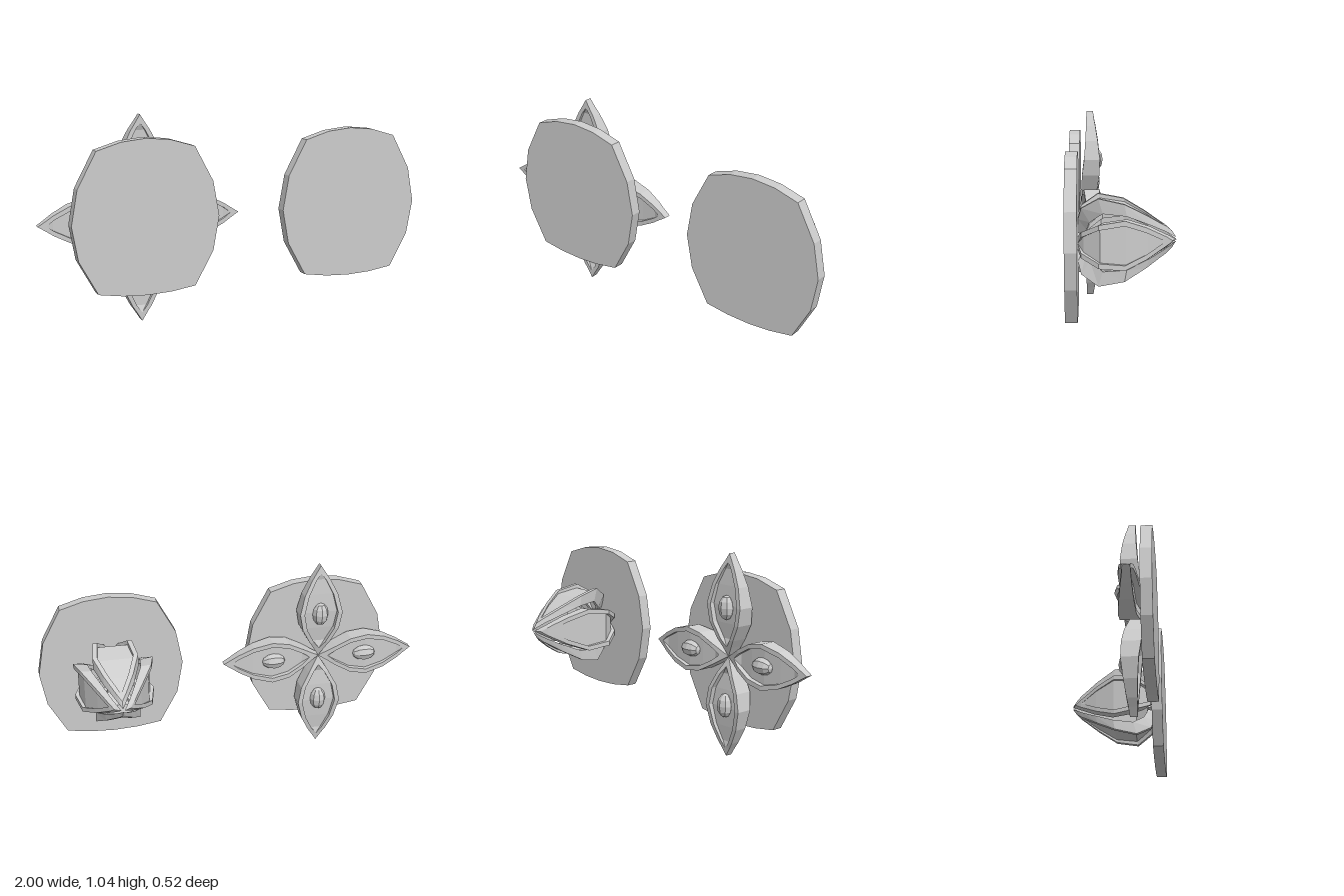
import * as THREE from 'three';

const material = new THREE.MeshStandardMaterial({ color: 0xcccccc, flatShading: true });

function mesh(geometry, name) {
  const m = new THREE.Mesh(geometry, material);
  m.name = name;
  return m;
}

// Rounded-square plate: eight-cornered outline with bowed sides
function plate() {
  const s = new THREE.Shape();
  s.moveTo(-0.25, 0.355);
  s.quadraticCurveTo(0, 0.455, 0.25, 0.355);
  s.quadraticCurveTo(0.505, -0.005, 0.25, -0.345);
  s.quadraticCurveTo(0, -0.395, -0.25, -0.345);
  s.quadraticCurveTo(-0.505, -0.005, -0.25, 0.355);
  const g = new THREE.ExtrudeGeometry(s, { depth: 0.057, bevelEnabled: false, curveSegments: 4 });
  g.translate(0, 0, 0.205);
  return mesh(g, 'backingPlate');
}

// Petal lofted from stations [outer radius, outer z, inner radius, inner z, half width].
// Each section is an I shape: a thick rim with a recessed panel on both faces.
function petalGeometry(stations) {
  const last = stations.length - 1;
  const rings = stations.map(([ra, za, rb, zb, w], i) => {
    const open = i > 1 && i < last - 1;
    const k = open ? w - 0.024 : 0;
    const d = open ? 0.3 : 0;
    return [
      [-w, 0], [-w, 1], [-k, 1], [-k, 1 - d], [k, 1 - d], [k, 1],
      [w, 1], [w, 0], [k, 0], [k, d], [-k, d], [-k, 0],
    ].map(([x, s]) => [x, ra + (rb - ra) * s, za + (zb - za) * s]);
  });
  const pos = [];
  for (let i = 0; i < last; i++) {
    for (let j = 0; j < 12; j++) {
      const n = (j + 1) % 12;
      const a = rings[i][j], b = rings[i + 1][j], c = rings[i][n], d = rings[i + 1][n];
      pos.push(...a, ...b, ...c, ...c, ...b, ...d);
    }
  }
  const g = new THREE.BufferGeometry();
  g.setAttribute('position', new THREE.Float32BufferAttribute(pos, 3));
  g.computeVertexNormals();
  return g;
}

// Plate with four petals around its centre
function flower(name, x, stations, withSeeds) {
  const group = new THREE.Group();
  group.name = name;
  const base = plate();
  base.position.y = 0.007;
  group.add(base);
  const shape = petalGeometry(stations);
  for (let i = 0; i < 4; i++) {
    const petal = new THREE.Group();
    petal.name = 'petal' + (i + 1);
    petal.rotation.z = i * Math.PI / 2;
    petal.add(mesh(shape, 'petalBlade'));
    if (withSeeds) {
      // Faceted dome in the recessed panel
      const dome = mesh(new THREE.SphereGeometry(1, 8, 6), 'petalDome');
      dome.scale.set(0.043, 0.062, 0.04);
      dome.position.set(0, 0.25, 0.121);
      petal.add(dome);
    }
    group.add(petal);
  }
  group.position.set(x, 0.518, 0);
  return group;
}

export function createModel() {
  const model = new THREE.Group();
  model.name = 'flowerPair';

  // Spread petals, tips curling back toward the plate
  const openPetal = [
    [0.0, 0.19, 0.0, 0.14, 0],
    [0.05, 0.2, 0.05, 0.125, 0.03],
    [0.09, 0.2, 0.09, 0.112, 0.055],
    [0.17, 0.195, 0.17, 0.1, 0.098],
    [0.26, 0.183, 0.26, 0.097, 0.115],
    [0.36, 0.176, 0.36, 0.108, 0.09],
    [0.44, 0.172, 0.44, 0.121, 0.05],
    [0.475, 0.171, 0.475, 0.128, 0.027],
    [0.518, 0.17, 0.518, 0.134, 0],
  ];
  // Closed petals, bulging out and meeting at the tip
  const closedPetal = [
    [0.03, 0.205, 0.02, 0.17, 0],
    [0.1, 0.205, 0.05, 0.165, 0.03],
    [0.155, 0.19, 0.09, 0.15, 0.06],
    [0.205, 0.11, 0.135, 0.09, 0.1],
    [0.18, -0.01, 0.125, -0.02, 0.115],
    [0.125, -0.11, 0.08, -0.125, 0.075],
    [0.08, -0.18, 0.045, -0.195, 0.036],
    [0.065, -0.205, 0.03, -0.22, 0.022],
    [0.04, -0.235, 0.008, -0.255, 0],
  ];
  model.add(flower('openFlower', -0.482, openPetal, true));
  model.add(flower('closedBud', 0.622, closedPetal, false));
  return model;
}
